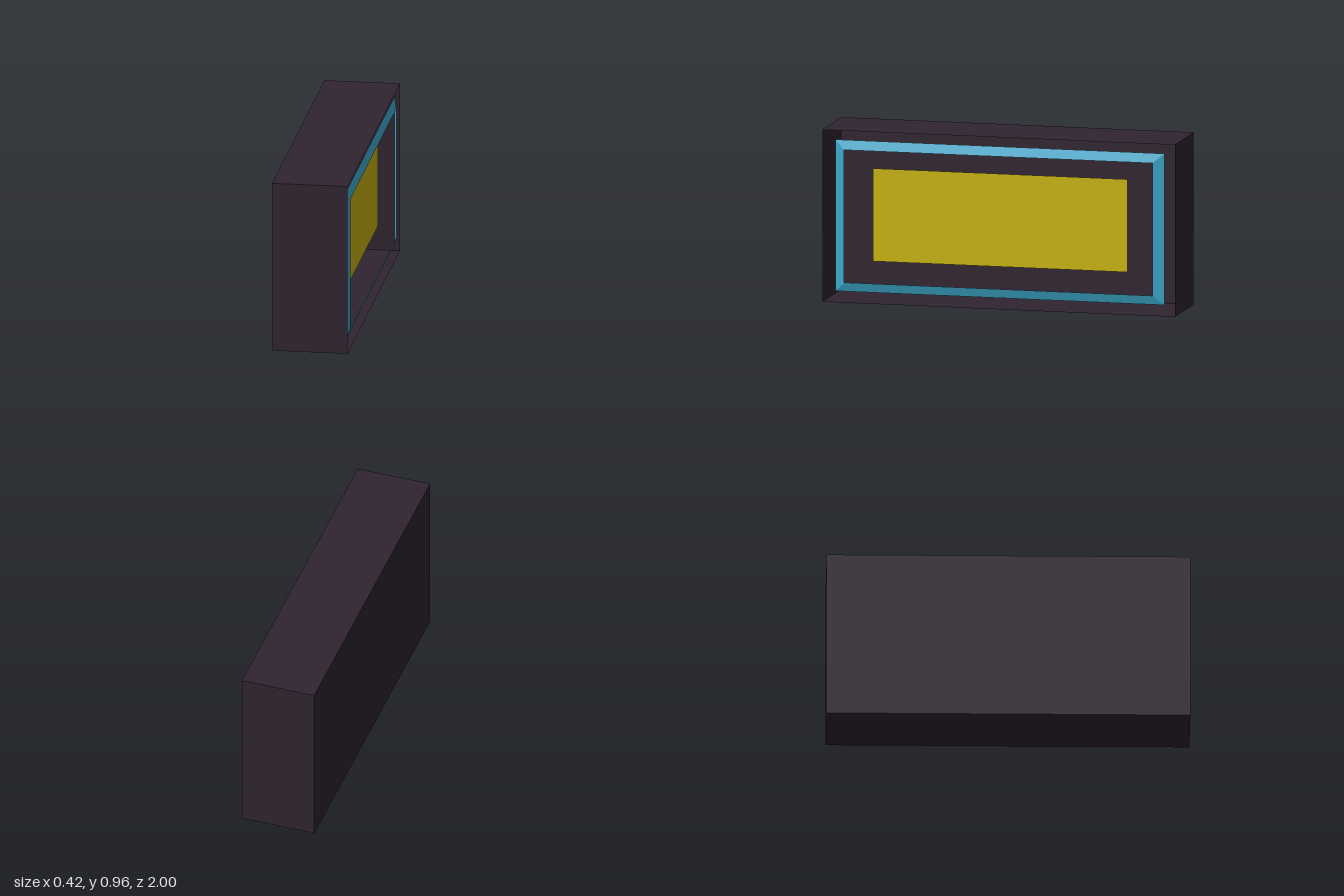
import * as THREE from 'three';

const paint = (name, color) => {
  const m = new THREE.MeshStandardMaterial({ color, side: THREE.DoubleSide });
  m.name = name;
  return m;
};

// Corners of an upright rectangle at depth x, counter-clockwise seen from +x
const rect = (x, zFront, zBack, y0, y1) => [
  [x, y0, zFront], [x, y0, zBack], [x, y1, zBack], [x, y1, zFront],
];

// Four mitred sloping strips joining an outer rectangle to an inner one
function bevelRing(outer, inner) {
  const pos = [];
  for (let i = 0; i < 4; i++) {
    const j = (i + 1) % 4;
    pos.push(...outer[i], ...outer[j], ...inner[j], ...outer[i], ...inner[j], ...inner[i]);
  }
  const g = new THREE.BufferGeometry();
  g.setAttribute('position', new THREE.Float32BufferAttribute(pos, 3));
  g.computeVertexNormals();
  return g;
}

export function createModel() {
  const model = new THREE.Group();
  model.name = 'openCase';
  const add = (name, geometry, material) => {
    const mesh = new THREE.Mesh(geometry, material);
    mesh.name = name;
    model.add(mesh);
    return mesh;
  };

  const dark = paint('darkPlum', 0x2f2430);
  const blue = paint('skyBlue', 0x3da9cc);
  const yellow = paint('mustardYellow', 0xc9b30f);

  // Thin-walled case, open on the +x side (first box face dropped)
  const shell = new THREE.BoxGeometry(0.42, 0.96, 2);
  shell.setIndex(Array.from(shell.index.array).slice(6));
  shell.clearGroups();
  add('caseShell', shell, dark).position.y = 0.48;

  // Bevelled frame just inside the opening
  add('bevelledFrame', bevelRing(
    rect(0.19, 0.93, -0.935, 0.06, 0.905),
    rect(0.208, 0.877, -0.871, 0.112, 0.852),
  ), blue);

  // Flat panel floating behind the frame
  const panel = add('innerPanel', new THREE.PlaneGeometry(1.444, 0.518), yellow);
  panel.rotation.y = Math.PI / 2;
  panel.position.set(0.13, 0.483, 0.011);

  return model;
}
